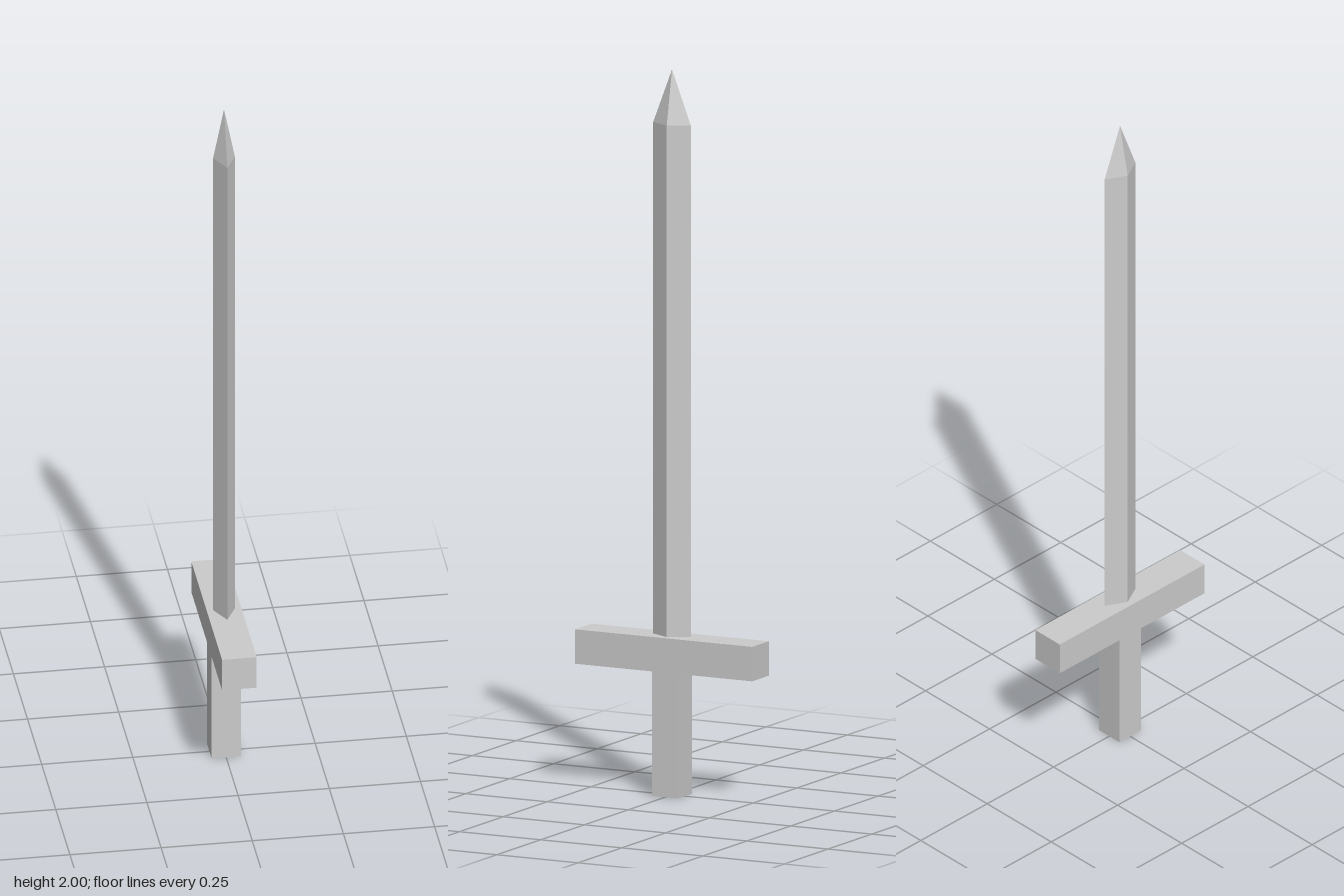
import * as THREE from 'three';

const material = new THREE.MeshStandardMaterial({ color: 0xcccccc, flatShading: true });

export function createModel() {
  const group = new THREE.Group();

  const add = (name, geometry) => {
    const mesh = new THREE.Mesh(geometry, material);
    mesh.name = name;
    group.add(mesh);
  };

  // Square-edged bar from y0 to y1, centred on the vertical axis
  const bar = (width, depth, y0, y1) =>
    new THREE.BoxGeometry(width, y1 - y0, depth).translate(0, (y0 + y1) / 2, 0);

  add('grip', bar(0.08, 0.08, 0, 0.345));
  add('crossguard', bar(0.095, 0.545, 0.345, 0.44));

  // Blade with a diamond section, edges along z, and its pointed tip
  const bladeBase = 0.44, shoulder = 1.85, tip = 2;
  const halfThickness = 0.03, halfWidth = 0.058;
  const diamond = (topRadius, y0, y1, open) =>
    new THREE.CylinderGeometry(topRadius, 1, y1 - y0, 4, 1, open)
      .scale(halfThickness, 1, halfWidth)
      .translate(0, (y0 + y1) / 2, 0);

  add('blade', diamond(1, bladeBase, shoulder, true));
  add('bladeTip', diamond(0, shoulder, tip, true));

  return group;
}
